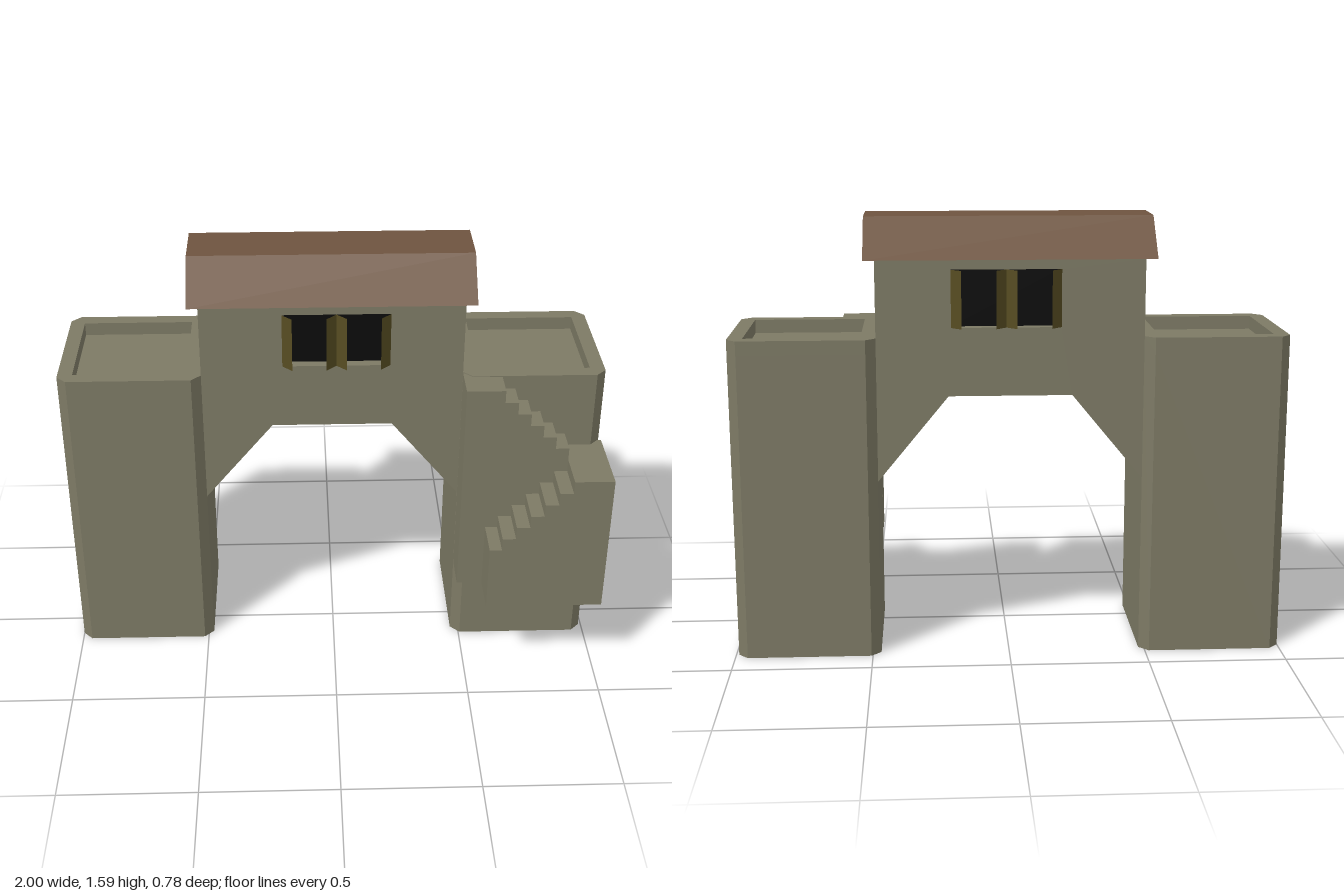
import * as THREE from 'three';

const material = (color, extra = {}) =>
  new THREE.MeshStandardMaterial({ color, flatShading: true, ...extra });
const stone = material(0x7d7a65);
const tile = material(0x6e543f);
const dark = material(0x0c0c0c);
const wood = material(0x564c22, { side: THREE.DoubleSide });

const polygon = (points) => new THREE.Shape(points.map(([x, y]) => new THREE.Vector2(x, y)));
const rectPath = (x0, y0, x1, y1) =>
  new THREE.Path([[x0, y0], [x0, y1], [x1, y1], [x1, y0]].map(([x, y]) => new THREE.Vector2(x, y)));
const extrude = (shape, depth) =>
  new THREE.ExtrudeGeometry(shape, { depth, bevelEnabled: false });

function add(parent, name, geometry, mat) {
  const mesh = new THREE.Mesh(geometry, mat);
  mesh.name = name;
  parent.add(mesh);
  return mesh;
}

// Square tower with chamfered corners and a sunken top
function createTower(name, x) {
  const tower = new THREE.Group();
  tower.name = name;
  const h = 0.26, c = 0.225, inner = 0.206, floor = 1.12, top = 1.17;
  const outline = () => polygon([[-h, -c], [-c, -h], [c, -h], [h, -c], [h, c], [c, h], [-c, h], [-h, c]]);
  add(tower, 'towerBody', extrude(outline(), floor).rotateX(-Math.PI / 2), stone);
  const rim = outline();
  rim.holes.push(rectPath(-inner, -inner, inner, inner));
  add(tower, 'towerParapet', extrude(rim, top - floor).rotateX(-Math.PI / 2).translate(0, floor, 0), stone);
  tower.position.set(x, 0, -0.128);
  return tower;
}

// Flight of six steps as a solid block; dir +1 rises towards +x, -1 falls
function createFlight(x0, startY, dir, z0, z1) {
  const points = [[x0, 0.325], [1, 0.325], [1, 0.875]];
  const rise = 0.0487, first = 0.61, tread = 0.049;
  for (let i = 5; i >= 0; i--) {
    const x = first + i * tread;
    points.push([x, startY + dir * (i + 1) * rise], [x, startY + dir * i * rise]);
  }
  points.push([x0, startY]);
  return extrude(polygon(points), z1 - z0).translate(0, 0, z0);
}

export function createModel() {
  const model = new THREE.Group();
  model.name = 'gatehouse';
  const midX = -0.005, front = 0.101, back = -0.353;
  const midZ = (front + back) / 2;

  model.add(createTower('rightTower', -0.74), createTower('leftTower', 0.73));

  // Room over the passage, with a splayed arch below and a window opening
  const wall = polygon([
    [-0.48, 0.65], [-0.225, 0.96], [0.215, 0.96], [0.47, 0.65], [0.47, 1.445], [-0.48, 1.445],
  ]);
  wall.holes.push(rectPath(-0.185, 1.205, 0.205, 1.41));
  add(model, 'gateRoom', extrude(wall, front - back).translate(0, 0, back), stone);
  add(model, 'windowPanes', new THREE.BoxGeometry(0.39, 0.205, front - back - 0.07), dark)
    .position.set(0.01, 1.3075, midZ);

  // Half-open shutters, two pairs on each face
  const swing = 0.036;
  for (const side of [1, -1]) {
    const shutters = new THREE.Group();
    shutters.name = side > 0 ? 'frontShutters' : 'backShutters';
    for (const [hinge, dir] of [[-0.185, 1], [0.01, -1], [0.01, 1], [0.205, -1]]) {
      const leaf = add(shutters, 'shutter', new THREE.PlaneGeometry(swing * Math.SQRT2, 0.205), wood);
      leaf.position.set(hinge + dir * swing / 2, 1.3075, midZ + side * ((front - back) / 2 + swing / 2));
      leaf.rotation.y = -dir * side * Math.PI / 4;
    }
    model.add(shutters);
  }

  // Flat-topped roof: trapezoid running along x
  const roofLength = 1.03;
  const roof = extrude(polygon([[-0.115, 1.445], [0.37, 1.445], [0.23, 1.585], [0.025, 1.585]]), roofLength);
  add(model, 'roof', roof.rotateY(Math.PI / 2).translate(midX - roofLength / 2, 0, 0), tile);

  // Stairs against the front of the left tower, turning at a landing
  const stairs = new THREE.Group();
  stairs.name = 'stairs';
  add(stairs, 'upperFlight', createFlight(0.47, 1.167, -1, 0.103, 0.238), stone);
  add(stairs, 'lowerFlight', createFlight(0.565, 0.583, 1, 0.238, 0.39), stone);
  model.add(stairs);

  return model;
}
